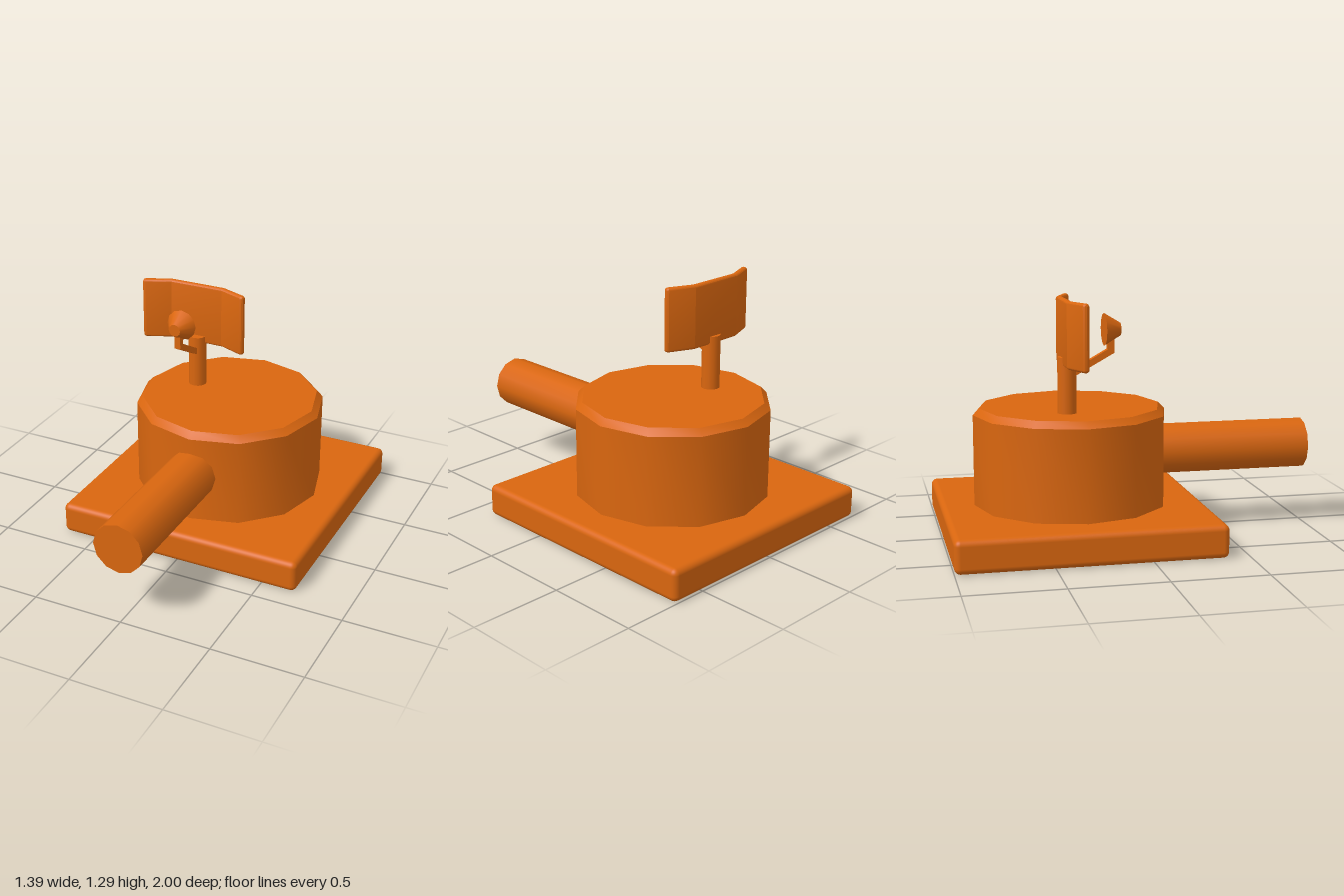
import * as THREE from 'three';
import { toCreasedNormals } from 'three/addons/utils/BufferGeometryUtils.js';
import { RoundedBoxGeometry } from 'three/addons/geometries/RoundedBoxGeometry.js';

const SIDES = 12;
const MAST_X = -0.23, MAST_Z = -0.36;

// Rounded rectangle in the y/z plane, counter-clockwise seen from +x
function roundedSection(h, t, r, steps = 4) {
  const pts = [];
  [[1, 1], [-1, 1], [-1, -1], [1, -1]].forEach(([sy, sz], q) => {
    for (let i = 0; i <= steps; i++) {
      const a = (q + i / steps) * Math.PI / 2;
      pts.push([sy * (h / 2 - r) + r * Math.cos(a), sz * (t / 2 - r) + r * Math.sin(a)]);
    }
  });
  return pts;
}

// Folded plate: rounded sections lofted along x, with both wings bent forward
function foldedPanel() {
  const half = 0.305, fold = 0.156, h = 0.345, t = 0.034, slope = 0.41;
  const xs = [[half, 0.014], [half - 0.004, 0.005], [half - 0.014, 0], [fold, 0]];
  const stations = [
    ...xs.map(([x, inset]) => [-x, inset]),
    ...xs.slice().reverse(),
  ];
  const pos = [], index = [];
  let n = 0;
  for (const [x, inset] of stations) {
    const ring = roundedSection(h - 2 * inset, t - 2 * inset, Math.max(0.0155 - inset, 0.0015));
    n = ring.length;
    const bend = Math.max(0, Math.abs(x) - fold) * slope;
    const lean = Math.abs(x) > fold + 0.01 ? slope : slope / 2;
    for (const [y, z] of ring) pos.push(x - Math.sign(x) * lean * z, y, z + bend);
  }
  for (let i = 0; i < stations.length - 1; i++) {
    for (let j = 0; j < n; j++) {
      const a = i * n + j, b = i * n + (j + 1) % n;
      index.push(a, b, a + n, b, b + n, a + n);
    }
  }
  const last = (stations.length - 1) * n;
  for (let j = 1; j < n - 1; j++) {
    index.push(0, j + 1, j);
    index.push(last, last + j, last + j + 1);
  }
  const g = new THREE.BufferGeometry();
  g.setAttribute('position', new THREE.Float32BufferAttribute(pos, 3));
  g.setIndex(index);
  return toCreasedNormals(g, 0.38);
}

export function createModel() {
  const group = new THREE.Group();
  const paint = new THREE.MeshStandardMaterial({ color: 0xd9660f });

  function add(name, geometry, x, y, z) {
    const mesh = new THREE.Mesh(geometry, paint);
    mesh.name = name;
    mesh.position.set(x, y, z);
    group.add(mesh);
    return mesh;
  }

  // Square base slab with softened edges
  add('base', new RoundedBoxGeometry(1.39, 0.175, 1.39, 4, 0.032), 0, 0.0875, -0.305);

  // Twelve-sided turret drum with a bevelled rim
  const profile = [[0, 0.16], [0.52, 0.16], [0.52, 0.662], [0.486, 0.697], [0, 0.697]]
    .map(([r, y]) => new THREE.Vector2(r, y));
  add('turret', toCreasedNormals(new THREE.LatheGeometry(profile, SIDES), 0.6), 0, 0, -0.305);

  // Barrel running forward from inside the drum
  const barrel = new THREE.CylinderGeometry(0.138, 0.138, 0.9, SIDES).rotateX(Math.PI / 2);
  add('barrel', barrel, 0, 0.438, 0.55);

  // Radar mast
  add('mast', new THREE.CylinderGeometry(0.05, 0.05, 0.31, SIDES), MAST_X, 0.835, MAST_Z);

  // Folded radar panel
  add('radarPanel', foldedPanel(), -0.235, 1.118, -0.371);

  // Cranked arm carrying the feed horn
  const arm = new THREE.Shape([
    [-0.33, 0.885], [-0.113, 1.005], [-0.113, 1.08], [-0.147, 1.08],
    [-0.147, 1.025], [-0.33, 0.922],
  ].map(([z, y]) => new THREE.Vector2(z, y)));
  const armGeometry = new THREE.ExtrudeGeometry(arm, { depth: 0.034, bevelEnabled: false });
  armGeometry.rotateY(-Math.PI / 2);
  add('feedArm', armGeometry, MAST_X + 0.017, 0, 0);

  // Feed horn, wide end facing the panel
  const horn = new THREE.CylinderGeometry(0.034, 0.085, 0.085, SIDES).rotateX(Math.PI / 2);
  add('feedHorn', horn, MAST_X, 1.126, -0.1215);

  return group;
}
